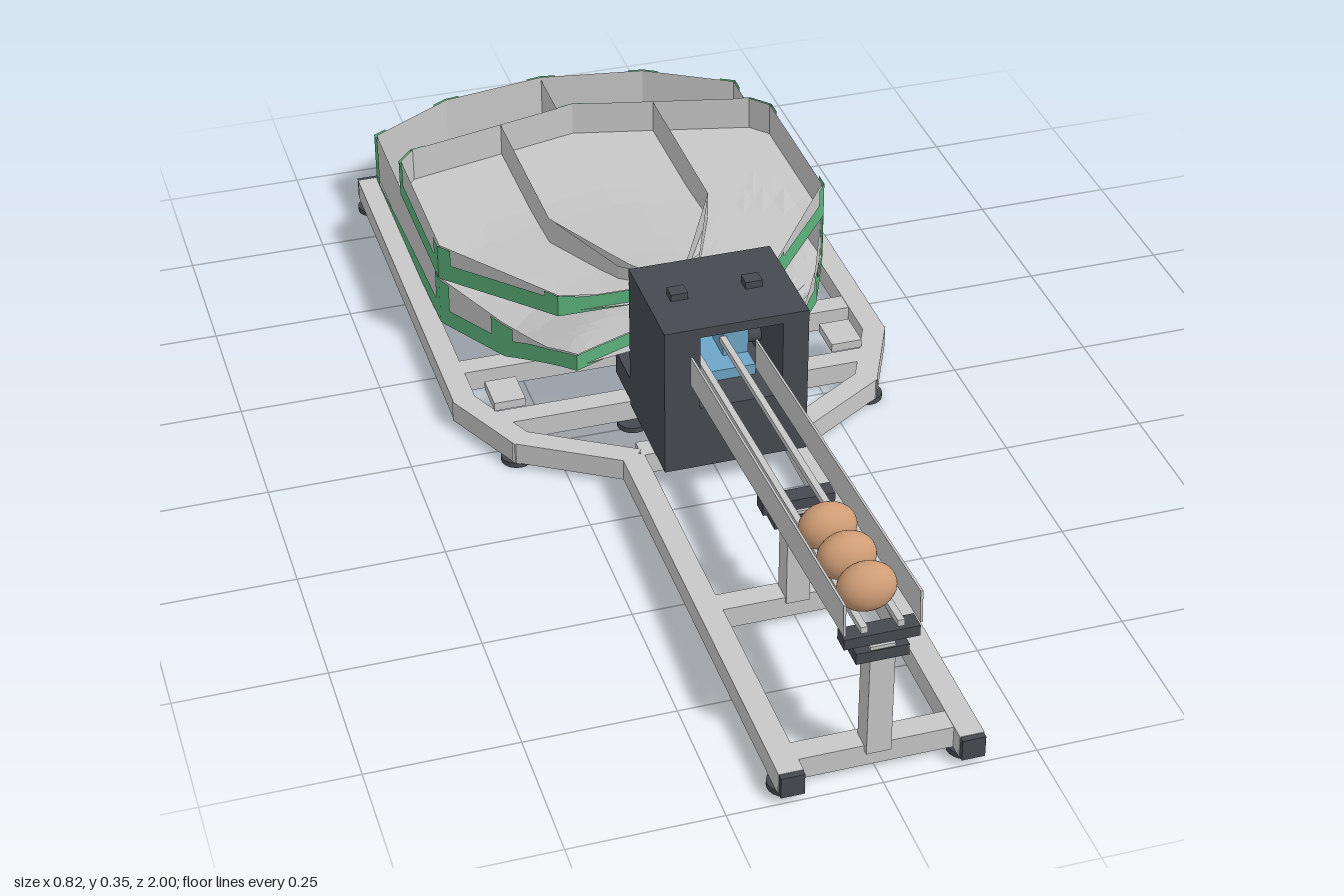
import * as THREE from 'three';

const mat = (name, color, side = THREE.FrontSide) => {
  const m = new THREE.MeshStandardMaterial({ color, side });
  m.name = name;
  return m;
};

export function createModel() {
  const root = new THREE.Group();
  root.name = 'eggSorter';
  const grey = mat('light grey metal', 0xc8c8c8, THREE.DoubleSide);
  const dark = mat('charcoal', 0x464a50);
  const green = mat('green brackets', 0x5db47e, THREE.DoubleSide);
  const blue = mat('blue mechanism', 0x6ea6c8);
  const shell = mat('egg shell', 0xcf9d76);

  const add = (name, geo, m, parent = root) => {
    const mesh = new THREE.Mesh(geo, m);
    mesh.name = name;
    parent.add(mesh);
    return mesh;
  };
  // box from its minimum and maximum on each axis
  const box = (name, m, x0, x1, y0, y1, z0, z1, parent) => {
    const b = add(name, new THREE.BoxGeometry(x1 - x0, y1 - y0, z1 - z0), m, parent);
    b.position.set((x0 + x1) / 2, (y0 + y1) / 2, (z0 + z1) / 2);
    return b;
  };
  // rectangular bar between two points
  const beam = (name, m, a, b, w, h, extra = 0, parent = root) => {
    const p = new THREE.Vector3(...a), q = new THREE.Vector3(...b);
    const bar = add(name, new THREE.BoxGeometry(w, h, p.distanceTo(q) + extra), m, parent);
    bar.position.copy(p).lerp(q, 0.5);
    bar.lookAt(q);
    return bar;
  };
  const flat = (positions) => {
    const g = new THREE.BufferGeometry();
    g.setAttribute('position', new THREE.Float32BufferAttribute(positions, 3));
    g.computeVertexNormals();
    return g;
  };
  const quad = (out, a, b, c, d) => out.push(...a, ...b, ...c, ...a, ...c, ...d);
  const mix = (a, b, t) => a + (b - a) * t;
  // piecewise linear height over [distance, height] pairs
  const curve = (pts) => (d) => {
    for (let i = 1; i < pts.length; i++) {
      const [d0, y0] = pts[i - 1], [d1, y1] = pts[i];
      if (d <= d1) return mix(y0, y1, Math.max(0, (d - d0) / (d1 - d0)));
    }
    return pts[pts.length - 1][1];
  };
  // upright sheet along a plan path, between two height functions
  const sheet = (name, path, low, high, m, parent) => {
    const out = [];
    for (let i = 1; i < path.length; i++) {
      for (let k = 0; k < 5; k++) {
        const at = (t) => [mix(path[i - 1][0], path[i][0], t), mix(path[i - 1][1], path[i][1], t)];
        const [ax, az] = at(k / 5), [bx, bz] = at((k + 1) / 5);
        quad(out, [ax, low(ax, az), az], [bx, low(bx, bz), bz], [bx, high(bx, bz), bz], [ax, high(ax, az), az]);
      }
    }
    return add(name, flat(out), m, parent);
  };

  // Base frame
  const frame = new THREE.Group();
  frame.name = 'baseFrame';
  root.add(frame);
  for (const s of [-1, 1]) {
    const pts = [[0.38, -0.88], [0.38, -0.1], [0.315, 0.04], [0.145, 0.145], [0.145, 0.99]];
    for (let i = 1; i < pts.length; i++) {
      const [a, b] = [pts[i - 1], pts[i]];
      beam('sideRail', grey, [s * a[0], 0.03, a[1]], [s * b[0], 0.03, b[1]], 0.04, 0.04, i === 2 || i === 3 ? 0.018 : 0, frame);
    }
    box('railEndCap', dark, s * 0.145 - 0.019, s * 0.145 + 0.019, 0.011, 0.049, 0.985, 1, frame);
    box('railEndCap', dark, s * 0.38 - 0.019, s * 0.38 + 0.019, 0.011, 0.049, -0.89, -0.87, frame);
    for (const [x, z] of [[0.38, -0.85], [0.32, 0.03], [0.145, 0.96], [0.1, -0.01]]) {
      const foot = add('foot', new THREE.CylinderGeometry(0.028, 0.028, 0.01, 20), dark, frame);
      foot.position.set(s * x, 0.005, z);
    }
    box('trayMount', grey, s * 0.31 - 0.028, s * 0.31 + 0.028, 0.05, 0.066, -0.12, -0.05, frame);
  }
  for (const [z, w] of [[0.945, 0.13], [0.57, 0.13], [0.13, 0.13], [-0.03, 0.34], [-0.2, 0.365], [-0.6, 0.365]]) {
    box('crossBar', grey, -w, w, 0.01, 0.049, z - 0.02, z + 0.02, frame);
  }

  // Sorting trays: sloped floor, walls, green edge strips and corner brackets
  const makeTray = (name, half, apexZ, profile, rim) => {
    const tray = new THREE.Group();
    tray.name = name;
    root.add(tray);
    const floorY = (x, z) => profile(Math.hypot(x, z - apexZ));
    const topY = (x, z) => Math.max(rim, floorY(x, z) + 0.025);
    const mirrored = half.slice(0, -1).reverse().map(([x, z]) => [-x, z]);
    const outline = [...half, ...mirrored];
    const out = [];
    const steps = 10;
    for (let i = 1; i < outline.length; i++) {
      for (let j = 0; j < 4; j++) {
        const edge = (t) => [mix(outline[i - 1][0], outline[i][0], t), mix(outline[i - 1][1], outline[i][1], t)];
        const e0 = edge(j / 4), e1 = edge((j + 1) / 4);
        const on = (e, t) => {
          const x = e[0] * t, z = mix(apexZ, e[1], t);
          return [x, floorY(x, z), z];
        };
        for (let k = 0; k < steps; k++) {
          const t0 = k / steps, t1 = (k + 1) / steps;
          quad(out, on(e0, t0), on(e0, t1), on(e1, t1), on(e1, t0));
        }
      }
    }
    add('trayFloor', flat(out), grey, tray);
    sheet('trayWall', outline, floorY, topY, grey, tray);
    const cz = -0.45;
    const outer = outline.map(([x, z]) => [x * 1.012, cz + (z - cz) * 1.008]);
    sheet('edgeStrip', outer, (x, z) => floorY(x, z) - 0.006,
      (x, z) => Math.min(floorY(x, z) + 0.028, topY(x, z)), green, tray);
    // brackets wrap a short way along both walls of each corner
    for (let i = 1; i < outer.length - 1; i++) {
      const [x, z] = outer[i];
      const towards = ([px, pz]) => {
        const r = Math.min(0.03 / Math.hypot(px - x, pz - z), 0.5);
        return [mix(x, px, r), mix(z, pz, r)];
      };
      sheet('cornerBracket', [towards(outer[i - 1]), [x, z], towards(outer[i + 1])],
        (a, b) => floorY(a, b) - 0.006, topY, green, tray);
    }
    return { tray, floorY, topY };
  };

  const lower = makeTray('lowerTray',
    [[0.05, -0.02], [0.2, 0], [0.29, -0.17], [0.36, -0.34], [0.36, -0.87], [0.2, -0.965], [0, -0.998]], 0.02,
    curve([[0, 0.19], [0.2, 0.15], [0.34, 0.09], [0.5, 0.065], [0.65, 0.055], [1.02, 0.018]]), 0.15);
  sheet('lowerDivider', [[0, -0.2], [0, -0.995]], lower.floorY, () => 0.145, grey, lower.tray);
  for (const x of [-0.24, -0.1, 0.1, 0.24]) {
    for (const z of [-0.5, -0.78]) {
      const y = lower.floorY(x, z);
      box('floorClip', dark, x - 0.02, x + 0.02, y - 0.014, y - 0.002, z - 0.015, z + 0.015, lower.tray);
    }
  }

  const upper = makeTray('upperTray',
    [[0.04, -0.08], [0.2, -0.12], [0.36, -0.34], [0.36, -0.645], [0.33, -0.68], [0, -0.758]], -0.05,
    curve([[0, 0.215], [0.05, 0.21], [0.21, 0.185], [0.46, 0.158], [0.8, 0.155]]), 0.22);
  for (const s of [-1, 1]) {
    sheet('laneDivider', [[s * 0.03, -0.13], [s * 0.15, -0.37], [s * 0.15, -0.722]], upper.floorY, upper.topY, grey, upper.tray);
    sheet('laneGuide', [[s * 0.03, -0.13], [s * 0.075, -0.18], [s * 0.15, -0.37]], upper.floorY, upper.topY, grey, upper.tray);
    beam('chuteFinger', grey, [s * 0.025, 0.24, -0.02], [s * 0.06, 0.215, -0.13], 0.025, 0.006);
  }

  // Sorting machine housing, open front and back
  const housing = new THREE.Group();
  housing.name = 'machineHousing';
  root.add(housing);
  box('leftWall', dark, -0.107, -0.045, 0.05, 0.33, 0, 0.21, housing);
  box('rightWall', dark, 0.1, 0.145, 0.05, 0.33, 0, 0.21, housing);
  box('lowerHousing', dark, -0.045, 0.1, 0.05, 0.17, 0, 0.21, housing);
  box('topCover', dark, -0.045, 0.1, 0.312, 0.33, 0, 0.21, housing);
  box('rearSkirt', dark, -0.107, 0.145, 0.06, 0.105, -0.09, 0, housing);
  for (const x of [-0.053, 0.078]) box('topKnob', dark, x - 0.015, x + 0.015, 0.33, 0.343, 0.092, 0.118, housing);

  // Weighing mechanism inside the housing
  box('mechanismBase', blue, -0.035, 0.075, 0.17, 0.19, 0, 0.14);
  box('mechanismArm', blue, 0.03, 0.075, 0.19, 0.235, 0.01, 0.1);
  box('mechanismArm', blue, -0.04, -0.02, 0.19, 0.225, 0.01, 0.1);
  beam('tippingCradle', blue, [0, 0.235, 0.04], [0, 0.215, -0.06], 0.06, 0.012);
  const motor = add('motor', new THREE.CylinderGeometry(0.016, 0.016, 0.03, 16), dark);
  motor.rotation.z = Math.PI / 2;
  motor.position.set(0.086, 0.214, 0.08);

  // Feed ramp on posts
  const ramp = new THREE.Group();
  ramp.name = 'feedRamp';
  root.add(ramp);
  for (const s of [-1, 1]) {
    beam('sidePlate', grey, [s * 0.06, 0.303, 0.97], [s * 0.06, 0.247, 0.19], 0.004, 0.055, 0, ramp);
    beam('guideRod', grey, [s * 0.029, 0.279, 0.97], [s * 0.029, 0.225, 0.1], 0.011, 0.011, 0, ramp);
  }
  for (const [z, y] of [[0.955, 0.248], [0.575, 0.222]]) {
    box('post', grey, -0.02, 0.02, 0.04, y, z - 0.02, z + 0.02, ramp);
    box('postCollar', dark, -0.043, 0.041, y - 0.026, y - 0.006, z - 0.022, z + 0.022, ramp);
    box('rodBracket', dark, -0.06, 0.06, y, y + 0.019, z - 0.015, z + 0.015, ramp);
  }

  // Eggs waiting on the rods
  for (const [z, y] of [[0.91, 0.311], [0.822, 0.303], [0.735, 0.295]]) {
    const egg = add('egg', new THREE.SphereGeometry(1, 28, 18), shell);
    egg.scale.set(0.047, 0.04, 0.034);
    egg.position.set(-0.005, y, z);
  }
  return root;
}
